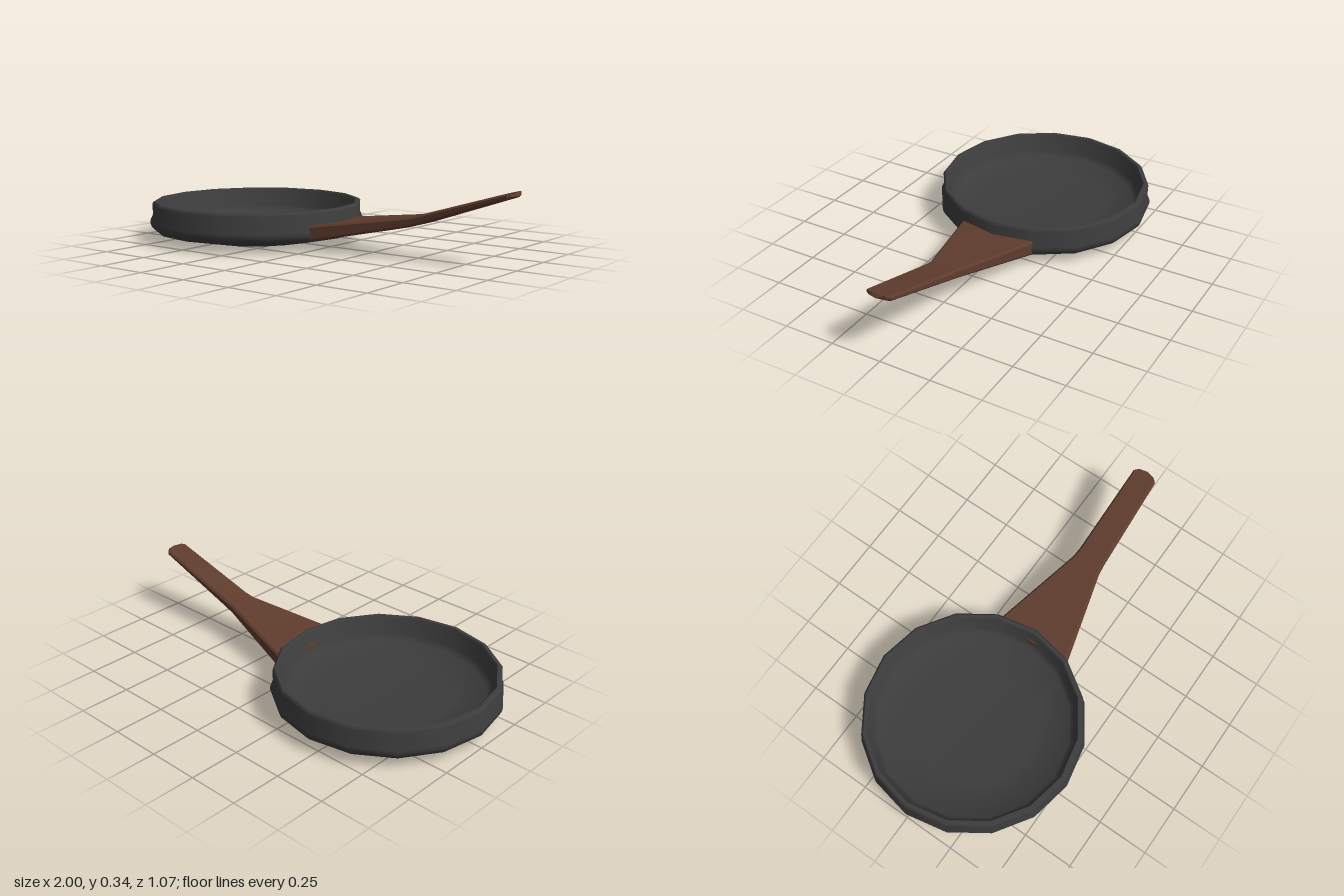
import * as THREE from 'three';
import { toCreasedNormals } from 'three/addons/utils/BufferGeometryUtils.js';

// Lofts chamfered rectangular sections along x; each is [x, bow, halfWidth, bottom, top, chamfer]
function loft(sections) {
  const pos = [], idx = [], n = 10;
  for (const [x, bow, w, yb, yt, c] of sections) {
    const ring = [
      [-w + c, yt], [0, yt], [w - c, yt], [w, yt - c], [w, yb + c],
      [w - c, yb], [0, yb], [-w + c, yb], [-w, yb + c], [-w, yt - c],
    ];
    for (const [z, y] of ring) pos.push(x - bow * (z / w) ** 2, y, z);
  }
  const last = (sections.length - 1) * n;
  for (let s = 0; s < last; s += n) {
    for (let j = 0; j < n; j++) {
      const a = s + j, b = s + (j + 1) % n;
      idx.push(a, b, a + n, b, b + n, a + n);
    }
  }
  for (let j = 1; j < n - 1; j++) {
    idx.push(0, j + 1, j, last, last + j, last + j + 1);
  }
  const g = new THREE.BufferGeometry();
  g.setAttribute('position', new THREE.Float32BufferAttribute(pos, 3));
  g.setIndex(idx);
  return g;
}

export function createModel() {
  const iron = new THREE.MeshStandardMaterial({ color: 0x3c3c3c });
  iron.name = 'dark iron';
  const wood = new THREE.MeshStandardMaterial({ color: 0x5e3c2d });
  wood.name = 'brown wood';
  const group = new THREE.Group();
  group.name = 'fryingPan';

  // Sixteen-sided pan: underside, bulged wall, rim, inner wall and floor
  const profile = [
    [0, 0], [0.295, 0.002], [0.508, 0.045], [0.528, 0.062], [0.535, 0.08],
    [0.535, 0.098], [0.522, 0.128], [0.524, 0.182], [0.515, 0.192],
    [0.5, 0.192], [0.492, 0.182], [0.482, 0.1], [0.46, 0.075], [0.3, 0.06], [0, 0.06],
  ].map(([r, y]) => new THREE.Vector2(r, y));
  const pan = new THREE.Mesh(toCreasedNormals(new THREE.LatheGeometry(profile, 16), 0.8), iron);
  pan.name = 'panBody';
  pan.position.x = -0.465;
  group.add(pan);

  // Handle: wide root hugging the wall, narrowing to an upswept grip
  const handle = new THREE.Mesh(toCreasedNormals(loft([
    [0.045, 0.035, 0.2, 0.05, 0.126, 0.01],
    [0.48, 0, 0.077, 0.146, 0.193, 0.01],
    [0.53, 0, 0.072, 0.16, 0.205, 0.01],
    [0.975, 0, 0.062, 0.311, 0.337, 0.008],
    [1, 0.012, 0.048, 0.322, 0.34, 0.006],
  ]), 0.6), wood);
  handle.name = 'handle';
  group.add(handle);

  return group;
}
